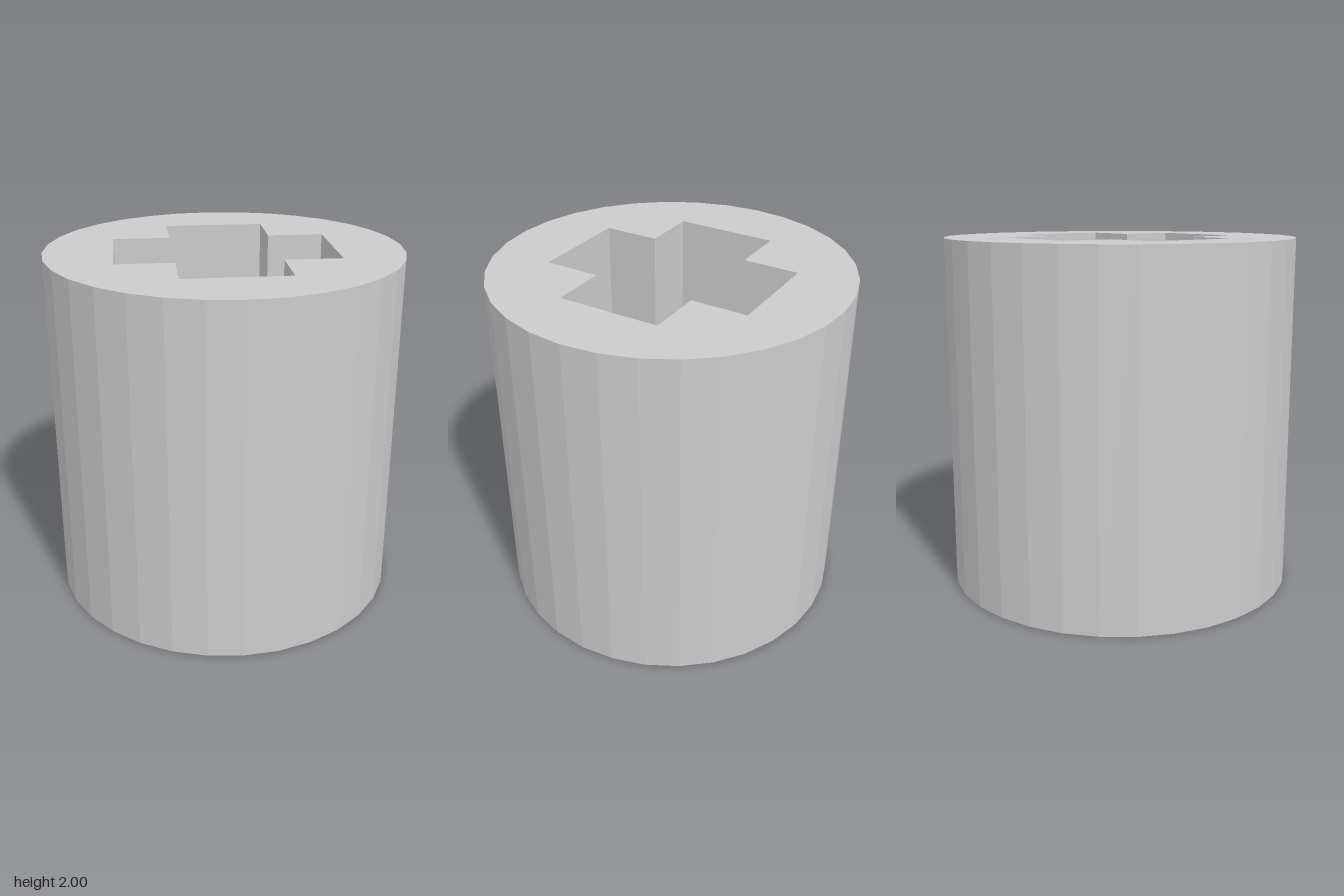
import * as THREE from 'three';

const SIDES = 32, RADIUS = 1, TOP = 2, FLOOR = 0.4;
const ARM = 0.61, HALF = 0.29; // cross socket: arm reach and half width

// Outline of the cross, anticlockwise: three corners per quarter turn
function crossPoints() {
  const points = [];
  for (let k = 0; k < 4; k++) {
    for (const [x, y] of [[ARM, -HALF], [ARM, HALF], [HALF, HALF]]) {
      points.push(new THREE.Vector2(x, y).rotateAround(new THREE.Vector2(), k * Math.PI / 2));
    }
  }
  return points;
}

function discPoints() {
  return Array.from({ length: SIDES }, (_, i) => {
    const a = i / SIDES * Math.PI * 2;
    return new THREE.Vector2(RADIUS * Math.cos(a), RADIUS * Math.sin(a));
  });
}

// Inward-facing walls from the floor to the rim
function socketWalls(points) {
  const positions = [];
  points.forEach((a, i) => {
    const b = points[(i + 1) % points.length];
    const corners = [[b, FLOOR], [a, FLOOR], [a, TOP], [b, FLOOR], [a, TOP], [b, TOP]];
    for (const [p, y] of corners) positions.push(p.x, y, -p.y);
  });
  const geometry = new THREE.BufferGeometry();
  geometry.setAttribute('position', new THREE.Float32BufferAttribute(positions, 3));
  geometry.computeVertexNormals();
  return geometry;
}

// Horizontal face at height y, facing up or down
function flatFace(shape, y, up = true) {
  return new THREE.ShapeGeometry(shape).rotateX(up ? -Math.PI / 2 : Math.PI / 2).translate(0, y, 0);
}

export function createModel() {
  const group = new THREE.Group();
  group.name = 'socketCylinder';
  const material = new THREE.MeshStandardMaterial({ color: 0xcccccc, flatShading: true });
  const add = (name, geometry) => {
    const mesh = new THREE.Mesh(geometry, material);
    mesh.name = name;
    group.add(mesh);
  };

  const cross = crossPoints();
  const rim = new THREE.Shape(discPoints());
  rim.holes.push(new THREE.Path(cross));

  // Faceted outer body
  add('outerWall', new THREE.CylinderGeometry(RADIUS, RADIUS, TOP, SIDES, 1, true).translate(0, TOP / 2, 0));
  add('topFace', flatFace(rim, TOP));
  add('bottomFace', flatFace(new THREE.Shape(discPoints()), 0, false));

  // Blind cross-shaped socket
  add('socketWalls', socketWalls(cross));
  add('socketFloor', flatFace(new THREE.Shape(cross), FLOOR));
  return group;
}
